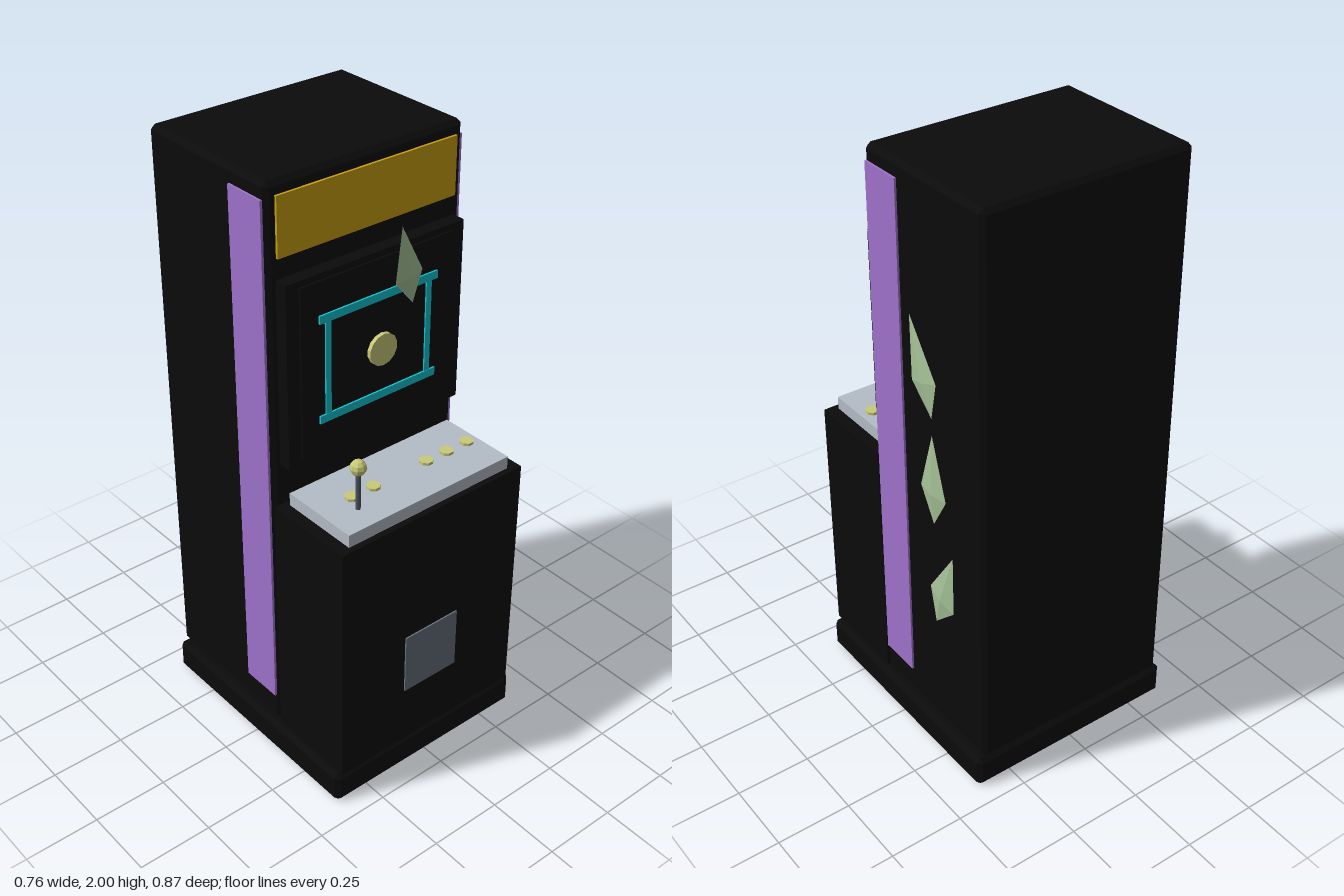
import * as THREE from 'three';
import { ConvexGeometry } from 'three/addons/geometries/ConvexGeometry.js';

const mat = (name, color, flatShading = false) => {
  const m = new THREE.MeshStandardMaterial({ color, flatShading });
  m.name = name;
  return m;
};

export function createModel() {
  const group = new THREE.Group();
  const black = mat('cabinetBlack', 0x0b0b0c);
  const gold = mat('marqueeGold', 0xc9a00e);
  const cyan = mat('neonCyan', 0x10c4cf);
  const purple = mat('stripePurple', 0x9f72cc);
  const green = mat('gemGreen', 0xa6c298, true);
  const yellow = mat('buttonYellow', 0xc8ca78, true);
  const silver = mat('panelSilver', 0xb4bcc6);
  const steel = mat('doorSteel', 0x66717c);
  const dark = mat('stickGrey', 0x4c545e);

  const add = (name, geometry, material, x = 0, y = 0, z = 0) => {
    const mesh = new THREE.Mesh(geometry, material);
    mesh.name = name;
    mesh.position.set(x, y, z);
    group.add(mesh);
    return mesh;
  };

  // Box given by its limits on each axis
  const box = (name, material, [x0, x1], [y0, y1], [z0, z1]) =>
    add(name, new THREE.BoxGeometry(x1 - x0, y1 - y0, z1 - z0), material,
      (x0 + x1) / 2, (y0 + y1) / 2, (z0 + z1) / 2);

  // Box with chamfered edges: three points around every corner
  const chamferBox = (name, material, [x0, x1], [y0, y1], [z0, z1], c) => {
    const w = (x1 - x0) / 2, h = (y1 - y0) / 2, d = (z1 - z0) / 2;
    const points = [];
    for (const i of [-1, 1]) for (const j of [-1, 1]) for (const k of [-1, 1]) {
      points.push(
        new THREE.Vector3(i * w, j * (h - c), k * (d - c)),
        new THREE.Vector3(i * (w - c), j * h, k * (d - c)),
        new THREE.Vector3(i * (w - c), j * (h - c), k * d));
    }
    return add(name, new ConvexGeometry(points), material,
      (x0 + x1) / 2, (y0 + y1) / 2, (z0 + z1) / 2);
  };

  // Kite-shaped crystal, facing +z
  const gemGeometry = (s, depth) => new ConvexGeometry([
    [0, 0.203 * s, 0], [0.0625 * s, 0, 0], [0, -0.11 * s, 0], [-0.0625 * s, 0, 0],
    [0, 0, depth], [0, 0, -depth],
  ].map((p) => new THREE.Vector3(...p)));

  // Cabinet
  chamferBox('base', black, [-0.378, 0.378], [0, 0.109], [-0.432, 0.428], 0.015);
  chamferBox('body', black, [-0.357, 0.357], [0.113, 2], [-0.432, 0.111], 0.015);
  box('lowerFront', black, [-0.357, 0.357], [0.113, 0.97], [0.115, 0.428]);
  box('coinDoor', steel, [-0.106, 0.106], [0.32, 0.533], [0.427, 0.433]);
  box('marquee', gold, [-0.326, 0.326], [1.775, 1.96], [0.111, 0.119]);
  for (const s of [-1, 1]) {
    box('sideStripe', purple, [s * 0.36 - 0.004, s * 0.36 + 0.004], [0.215, 1.95], [-0.047, 0.097]);
  }

  // Screen with neon frame, coin and gem
  box('bezel', black, [-0.33, 0.33], [1.11, 1.71], [0.108, 0.155]);
  box('screen', black, [-0.285, 0.285], [1.13, 1.69], [0.15, 0.162]);
  for (const s of [-1, 1]) {
    const y = 1.408 + s * 0.164;
    box('frameBar', cyan, [-0.222, 0.222], [y - 0.013, y + 0.013], [0.162, 0.168]);
    box('framePost', cyan, [s * 0.19 - 0.01, s * 0.19 + 0.01], [1.244, 1.572], [0.162, 0.167]);
  }
  const coin = add('screenCoin', new THREE.CylinderGeometry(0.052, 0.052, 0.013, 14), yellow, 0, 1.407, 0.18);
  coin.rotation.x = Math.PI / 2;
  const screenGem = add('screenGem', gemGeometry(0.83, 0.012), green, 0.094, 1.612, 0.184);
  screenGem.rotation.z = 0.176;

  // Gems on the left side of the cabinet: height, depth, tilt
  for (const [y, z, tilt] of [[1.375, -0.166, 0.316], [1.01, -0.2, 0], [0.632, -0.233, -0.3]]) {
    const gem = add('sideGem', gemGeometry(1, 0.0105), green, 0.367, y, z);
    gem.rotation.set(0, Math.PI / 2, tilt, 'YXZ');
  }

  // Control panel
  box('controlPanel', silver, [-0.316, 0.316], [0.97, 1.013], [0.135, 0.408]);
  for (const x of [-0.19, -0.106, 0.105, 0.189, 0.273]) {
    add('button', new THREE.CylinderGeometry(0.023, 0.023, 0.012, 8), yellow, x, 1.016, 0.27)
      .rotation.y = Math.PI / 8;
  }
  add('joystickShaft', new THREE.CylinderGeometry(0.008, 0.008, 0.14, 8), dark, -0.211, 1.08, 0.323);
  add('joystickBall', new THREE.SphereGeometry(0.026, 8, 6), yellow, -0.211, 1.157, 0.323);

  return group;
}
